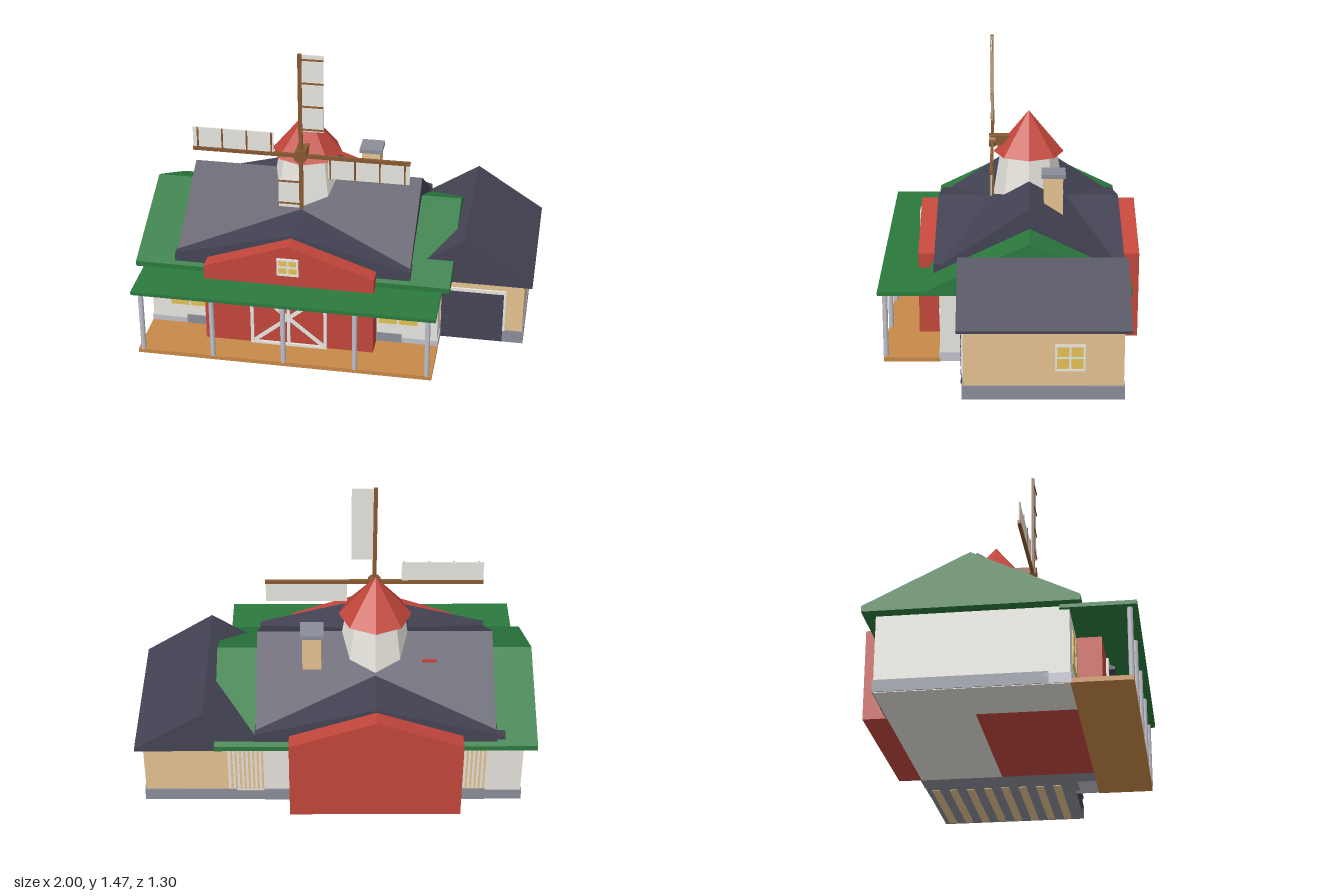
import * as THREE from 'three';

const mat = (name, color) => {
  const m = new THREE.MeshStandardMaterial({ color });
  m.name = name;
  return m;
};

export function createModel() {
  const root = new THREE.Group();
  root.name = 'farmhouse';
  const white = mat('white plaster', 0xe8e5de), tan = mat('tan wall', 0xe6c292);
  const stone = mat('grey stone', 0x8b8e99), pale = mat('pale stone', 0xbfc0ca);
  const slate = mat('dark slate', 0x444354), red = mat('barn red', 0xc2463b);
  const green = mat('green roof', 0x2b7a3e), yellow = mat('window yellow', 0xe4c056);
  const brown = mat('dark timber', 0x875931), wood = mat('porch wood', 0xc78848);

  const add = (name, geo, material, parent = root) => {
    const m = new THREE.Mesh(geo, material);
    m.name = name;
    parent.add(m);
    return m;
  };
  // box given by its limits on each axis
  const box = (name, material, x0, x1, y0, y1, z0, z1, parent) => {
    const g = new THREE.BoxGeometry(x1 - x0, y1 - y0, z1 - z0);
    g.translate((x0 + x1) / 2, (y0 + y1) / 2, (z0 + z1) / 2);
    return add(name, g, material, parent);
  };
  // outline in x,y extruded from z0 to z1
  const prismZ = (name, material, pts, z0, z1) => {
    const s = new THREE.Shape(pts.map(p => new THREE.Vector2(...p)));
    const g = new THREE.ExtrudeGeometry(s, { depth: z1 - z0, bevelEnabled: false });
    return add(name, g.translate(0, 0, z0), material);
  };
  // outline in z,y extruded from x0 to x1
  const prismX = (name, material, pts, x0, x1) => {
    const s = new THREE.Shape(pts.map(([z, y]) => new THREE.Vector2(-z, y)));
    const g = new THREE.ExtrudeGeometry(s, { depth: x1 - x0, bevelEnabled: false });
    return add(name, g.rotateY(Math.PI / 2).translate(x0, 0, 0), material);
  };
  // window facing +z: pane, frame and glazing bars
  const windowAt = (w, h, x, y, z, ry, framed = true) => {
    const g = new THREE.Group();
    g.name = 'window';
    g.position.set(x, y, z);
    g.rotation.y = ry;
    root.add(g);
    const b = 0.005;
    box('pane', yellow, -w / 2, w / 2, -h / 2, h / 2, 0, 0.006, g);
    box('uprightBar', white, -b, b, -h / 2, h / 2, 0.002, 0.009, g);
    box('crossBar', white, -w / 2, w / 2, -b, b, 0.002, 0.009, g);
    if (!framed) return;
    for (const s of [-1, 1]) {
      box('frameSide', white, s * w / 2 - b, s * w / 2 + b, -h / 2 - b, h / 2 + b, 0, 0.011, g);
      box('frameRail', white, -w / 2, w / 2, s * h / 2 - b, s * h / 2 + b, 0, 0.011, g);
    }
  };
  const cx = -0.2, cz = -0.095;

  // Main house and its gabled roof
  box('houseWalls', white, -0.94, 0.54, 0.01, 0.39, -0.532, 0.345);
  box('houseBase', stone, -0.945, 0.5, 0.003, 0.06, -0.537, 0.25);
  box('frontBase', pale, -0.945, 0.545, 0.003, 0.05, 0.23, 0.35);
  prismX('greenRoof', green,
    [[0.4, 0.372], [0.4, 0.4], [cz, 0.64], [-0.588, 0.4], [-0.588, 0.372]], -1, 0.6);
  for (const s of [-1, 1]) {
    const a = cx + s * 0.425, b = cx + s * 0.56;
    box('step', stone, Math.min(a, b), Math.max(a, b), 0.003, 0.07, -0.54, 0.352);
    windowAt(0.2, 0.165, cx + s * 0.54, 0.213, 0.345, 0, false);
  }
  // Narrow tan boards on the back wall, beside the barn and the garage
  for (const [x0, count] of [[-0.755, 6], [0.362, 8]]) {
    for (let i = 0; i < count; i++) {
      const x = x0 + i * 0.022;
      box('backBoard', tan, x, x + 0.011, 0.07, 0.372, -0.534, -0.53);
    }
  }
  // Undersides of the floors
  box('sideFloor', white, -0.94, -0.63, 0, 0.004, -0.532, 0.345);
  box('backFloor', white, -0.63, 0.23, 0, 0.004, -0.532, -0.12);
  for (let i = 0; i < 8; i++) {
    const z = -0.51 + i * 0.09;
    box('garageFloorBoard', tan, 0.4, 0.95, 0, 0.004, z, z + 0.04);
  }

  // Upper slate roof: long gable crossed by a wide low one
  prismX('upperRoof', slate,
    [[0.37, 0.405], [0.37, 0.435], [cz, 0.742], [-0.56, 0.435], [-0.56, 0.405]], -0.795, 0.395);
  prismZ('crossRoof', slate,
    [[-0.8, 0.405], [0.4, 0.405], [0.4, 0.455], [cx, 0.612], [-0.8, 0.455]], -0.565, 0.378);
  box('gutterEnd', slate, -0.84, -0.79, 0.41, 0.44, -0.555, -0.51);
  box('roofVent', red, -0.51, -0.435, 0.64, 0.666, -0.236, -0.228);

  // Red barn running through the house
  prismZ('barn', red,
    [[-0.63, 0.001], [0.23, 0.001], [0.23, 0.448], [cx, 0.598], [-0.63, 0.448]], -0.648, 0.463);
  windowAt(0.1, 0.085, cx, 0.483, 0.463, 0);
  // Barn door with crossed braces
  const door = new THREE.Group();
  door.name = 'barnDoor';
  door.position.set(cx, 0.185, 0.463);
  root.add(door);
  for (const s of [-1, 1]) {
    box('doorStile', white, s * 0.187 - 0.008, s * 0.187 + 0.008, -0.165, 0.165, 0, 0.012, door);
    box('doorRail', white, -0.187, 0.187, s * 0.157 - 0.008, s * 0.157 + 0.008, 0, 0.012, door);
    const brace = box('doorBrace', white, -0.238, 0.238, -0.009, 0.009, 0, 0.009, door);
    brace.rotation.z = s * Math.atan2(0.314, 0.374);
  }
  box('doorMiddle', white, -0.008, 0.008, -0.165, 0.165, 0, 0.01, door);
  prismX('doorHood', slate, [[0.5, 0.322], [0.5, 0.337], [0.46, 0.352], [0.46, 0.322]],
    cx - 0.12, cx + 0.155);

  // Porch
  box('porchFloor', wood, -0.945, 0.545, 0, 0.022, 0.345, 0.622);
  box('porchRoof', green, -0.96, 0.56, 0.355, 0.374, 0.3, 0.647);
  for (let i = -2; i <= 2; i++) {
    const g = new THREE.CylinderGeometry(0.013, 0.013, 0.34, 10);
    add('porchPost', g.translate(cx + i * 0.36, 0.19, 0.612), pale);
  }

  // Garage wing
  box('garageWalls', tan, 0.3, 0.96, 0.01, 0.352, -0.53, 0.22);
  box('garageBase', stone, 0.5, 0.967, 0.003, 0.07, -0.535, 0.227);
  prismZ('garageRoof', slate,
    [[0.3, 0.35], [1, 0.35], [1, 0.363], [0.65, 0.59], [0.3, 0.363]], -0.562, 0.252);
  box('garageDoor', slate, 0.545, 0.86, 0.004, 0.285, 0.21, 0.229);
  for (let i = 0; i < 6; i++) {
    const y = 0.03 + i * 0.046;
    box('doorSlat', slate, 0.55, 0.855, y, y + 0.012, 0.225, 0.235);
  }
  box('doorLintel', white, 0.54, 0.872, 0.285, 0.302, 0.21, 0.231);
  box('doorJamb', white, 0.86, 0.872, 0.07, 0.285, 0.21, 0.231);
  windowAt(0.132, 0.122, 0.96, 0.214, -0.278, Math.PI / 2);

  // Chimney
  box('chimney', tan, 0.07, 0.165, 0.55, 0.826, -0.264, -0.168);
  box('chimneyCap', stone, 0.058, 0.175, 0.825, 0.846, -0.277, -0.156);

  // Windmill tower: eight flat sides under a pointed roof
  const tower = new THREE.CylinderGeometry(0.145, 0.19, 0.28, 8).toNonIndexed();
  tower.computeVertexNormals();
  add('tower', tower.translate(cx, 0.73, cz), white);
  const cone = new THREE.ConeGeometry(0.182, 0.22, 8).toNonIndexed();
  cone.computeVertexNormals();
  add('towerRoof', cone.translate(cx, 0.965, cz), red);

  // Hub and four sails, each a quarter turn from the last
  const mill = new THREE.Group();
  mill.name = 'windmillSails';
  mill.position.set(cx, 0.915, 0.094);
  root.add(mill);
  box('axle', brown, -0.028, 0.028, -0.022, 0.028, -0.14, 0.005, mill);
  const hub = new THREE.CylinderGeometry(0.035, 0.035, 0.035, 12);
  add('hub', hub.rotateX(Math.PI / 2), brown, mill);
  for (let i = 0; i < 4; i++) {
    const arm = new THREE.Group();
    arm.name = 'sail';
    arm.rotation.z = -i * Math.PI / 2;
    mill.add(arm);
    box('spar', brown, -0.01, 0.01, 0, 0.555, -0.007, 0.007, arm);
    box('cloth', white, 0.008, 0.118, 0.138, 0.553, -0.003, 0.002, arm);
    for (let k = 0; k < 4; k++) {
      const y = 0.15 + k * 0.126;
      box('slat', brown, 0, 0.118, y - 0.004, y + 0.004, 0, 0.007, arm);
    }
  }
  return root;
}
